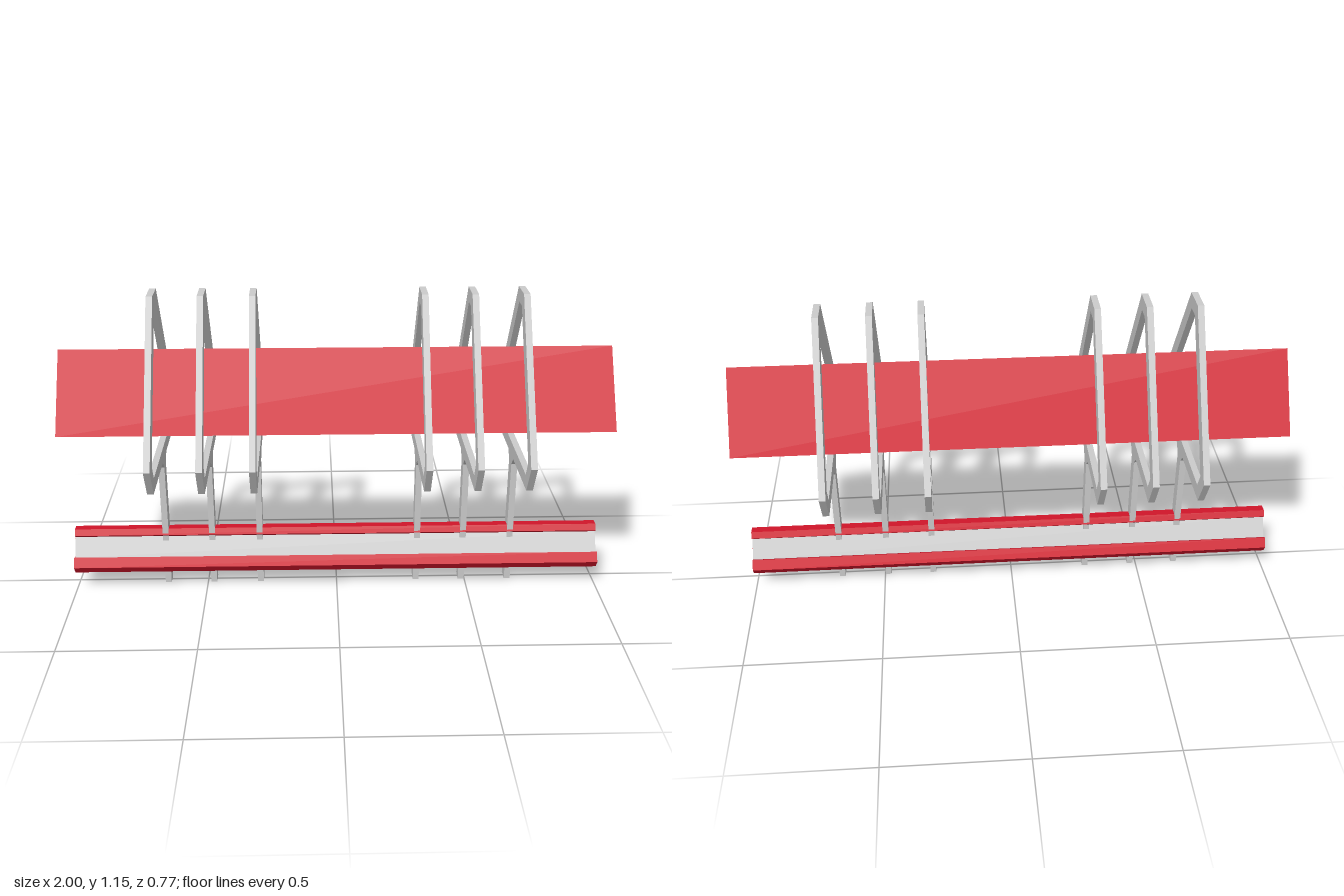
import * as THREE from 'three';

const grey = new THREE.MeshStandardMaterial({ color: 0xcccccc, flatShading: true });
const red = new THREE.MeshStandardMaterial({ color: 0xd0152a, flatShading: true });

// Mirror a half outline [z, y] (listed bottom to top) into a closed outline
const mirrored = (half) => [...half, ...half.filter(([z]) => z > 0).reverse().map(([z, y]) => [-z, y])];
const toPoints = (list) => list.map(([z, y]) => new THREE.Vector2(z, y));

// Extrude a z-y outline along x, centred on x = 0
function extrudeAlongX(outline, length, material, name, hole) {
  const shape = new THREE.Shape(toPoints(outline));
  if (hole) shape.holes.push(new THREE.Path(toPoints(hole)));
  const geometry = new THREE.ExtrudeGeometry(shape, { depth: length, bevelEnabled: false });
  geometry.translate(0, 0, -length / 2);
  geometry.rotateY(Math.PI / 2);
  const mesh = new THREE.Mesh(geometry, material);
  mesh.name = name;
  return mesh;
}

export function createModel() {
  const model = new THREE.Group();
  model.name = 'barrier';

  // Upper triangular beam
  model.add(extrudeAlongX([[-0.17, 0.676], [0.17, 0.676], [0, 0.945]], 2, red, 'upperBeam'));

  // Lower rail with a ridge on top and two bulging edges
  const rail = [[0.076, 0.076], [0.094, 0.104], [0.073, 0.138], [0.057, 0.128],
    [0.012, 0.198], [0.018, 0.198], [0.028, 0.207], [0.015, 0.229]];
  model.add(extrudeAlongX(mirrored(rail), 2, red, 'lowerRail'));

  // Grey strips on both slopes of the rail
  for (const s of [1, -1]) {
    const strip = [[0.056, 0.126], [0.0585, 0.129], [0.0145, 0.198], [0.011, 0.198]];
    model.add(extrudeAlongX(strip.map(([z, y]) => [s * z, y]), 1.999, grey, s > 0 ? 'frontStrip' : 'backStrip'));
  }

  // Six hoops on posts: post, flared neck and open frame in one outline
  const hoop = [[0.025, 0], [0.025, 0.49], [0.055, 0.522], [0.326, 0.522], [0.384, 0.628], [0.053, 1.154]];
  const opening = [[0.297, 0.57], [0.326, 0.626], [0.027, 1.104]];
  for (const x of [-0.654, -0.477, -0.295, 0.31, 0.487, 0.668]) {
    const bracket = extrudeAlongX(mirrored(hoop), 0.023, grey, 'hoopBracket', mirrored(opening));
    bracket.position.x = x;
    model.add(bracket);
  }
  return model;
}
